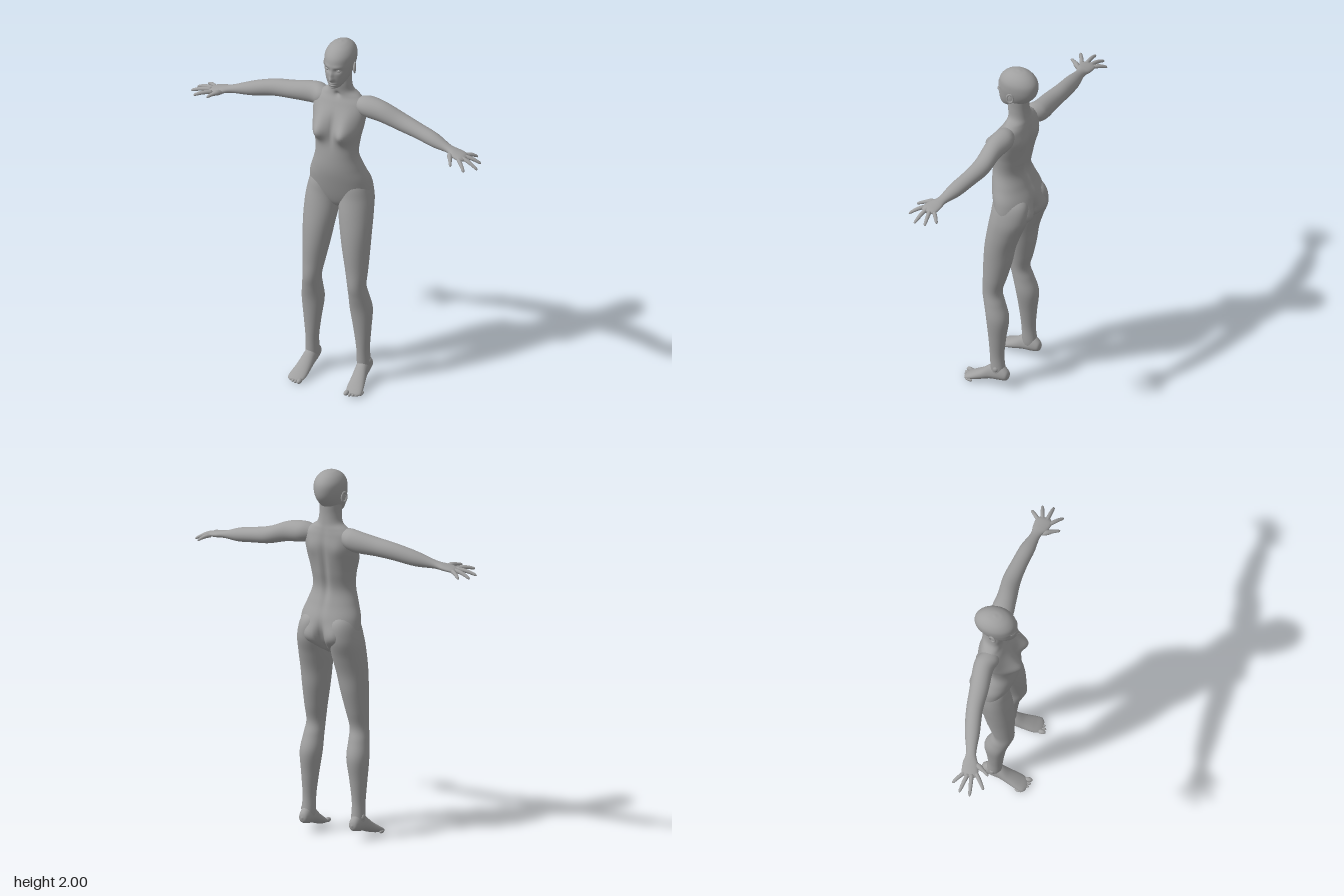
import * as THREE from 'three';

const X = new THREE.Vector3(1, 0, 0), Y = new THREE.Vector3(0, 1, 0), Z = new THREE.Vector3(0, 0, 1);
const clay = new THREE.MeshStandardMaterial({ color: 0xa0a0a0 });
clay.name = 'clay grey';

// Smooth closed skin over rows [x, y, z, half width along U, reach along +V, reach along -V]
function loft(name, rows, U, V, seg = 24, steps = 6, sculpt) {
  const path = new THREE.CatmullRomCurve3(rows.map(r => new THREE.Vector3(r[0], r[1], r[2])), false, 'catmullrom');
  const size = new THREE.CatmullRomCurve3(rows.map(r => new THREE.Vector3(r[3], r[4], r[5] ?? r[4])), false, 'catmullrom');
  const n = (rows.length - 1) * steps, pos = [], idx = [];
  const first = path.getPoint(0), last = path.getPoint(1);
  const flip = new THREE.Vector3().crossVectors(U, V).dot(last.clone().sub(first)) < 0;
  const tri = (a, b, c) => flip ? idx.push(a, c, b) : idx.push(a, b, c);
  for (let i = 0; i <= n; i++) {
    const c = path.getPoint(i / n), r = size.getPoint(i / n);
    for (let j = 0; j < seg; j++) {
      const t = j / seg * Math.PI * 2, s = Math.sin(t);
      const v = c.clone().addScaledVector(U, Math.cos(t) * Math.max(r.x, 0.001))
        .addScaledVector(V, s * Math.max(s > 0 ? r.y : r.z, 0.001));
      if (sculpt) sculpt(v, s);
      pos.push(v.x, v.y, v.z);
      if (i < n) {
        const a = i * seg + j, b = i * seg + (j + 1) % seg;
        tri(a, b, b + seg);
        tri(a, b + seg, a + seg);
      }
    }
  }
  // end caps
  const k = pos.length / 3;
  pos.push(...first.toArray(), ...last.toArray());
  for (let j = 0; j < seg; j++) {
    const j2 = (j + 1) % seg;
    tri(k, j2, j);
    tri(k + 1, n * seg + j, n * seg + j2);
  }
  const g = new THREE.BufferGeometry();
  g.setAttribute('position', new THREE.Float32BufferAttribute(pos, 3));
  g.setIndex(idx);
  g.computeVertexNormals();
  const m = new THREE.Mesh(g, clay);
  m.name = name;
  return m;
}

function blob(name, x, y, z, a, b, c) {
  const m = new THREE.Mesh(new THREE.SphereGeometry(1, 20, 14), clay);
  m.name = name;
  m.position.set(x, y, z);
  m.scale.set(a, b, c);
  return m;
}

// Soft hill, mirrored over x = 0
const hill = (v, x, y, rx, ry, d) => d * Math.exp(-(((Math.abs(v.x) - x) / rx) ** 2) - ((v.y - y) / ry) ** 2);

function sculptTorso(v, s) {
  const front = Math.max(0, s), back = Math.max(0, -s);
  const { x, y } = v;
  const p = { x, y };
  v.z += Math.sqrt(front) * (hill(p, 0.078, 1.505, 0.05, 0.052, 0.062) + hill(p, 0.07, 1.57, 0.045, 0.045, 0.016)
    + hill(p, 0, 1.52, 0.012, 0.07, -0.008) + hill(p, 0, 1.7, 0.014, 0.015, -0.012));
  v.z += back * (hill(p, 0, 1.45, 0.018, 0.18, 0.014) + hill(p, 0.085, 1.12, 0.05, 0.06, -0.025)
    + hill(p, 0, 1.09, 0.02, 0.07, 0.04) + hill(p, 0.08, 1.58, 0.04, 0.05, -0.01));
}

function sculptHead(v, s) {
  const p = { x: v.x, y: v.y };
  v.z += Math.max(0, s) * (hill(p, 0, 1.825, 0.012, 0.013, 0.018) + hill(p, 0, 1.85, 0.009, 0.022, 0.011)
    + hill(p, 0.03, 1.875, 0.017, 0.012, -0.012) + hill(p, 0.03, 1.897, 0.022, 0.01, 0.004)
    + hill(p, 0, 1.798, 0.02, 0.005, 0.007) + hill(p, 0, 1.786, 0.017, 0.005, 0.007)
    + hill(p, 0, 1.792, 0.02, 0.002, -0.005) + hill(p, 0, 1.77, 0.015, 0.007, 0.005));
}

function leg(s) {
  const g = new THREE.Group();
  g.name = s > 0 ? 'leftLeg' : 'rightLeg';
  const mir = rows => rows.map(([x, ...r]) => [s * x, ...r]);
  g.add(loft('legSkin', mir([
    [0.07, 1.26, -0.04, 0.01, 0.01, 0.01], [0.082, 1.2, -0.04, 0.07, 0.075, 0.105],
    [0.095, 1.1, -0.035, 0.088, 0.085, 0.122], [0.1, 1.0, -0.02, 0.092, 0.086, 0.102],
    [0.108, 0.9, -0.005, 0.084, 0.084, 0.084], [0.115, 0.8, 0.005, 0.073, 0.08, 0.077],
    [0.124, 0.69, 0.018, 0.06, 0.067, 0.064], [0.13, 0.6, 0.027, 0.05, 0.06, 0.05],
    [0.135, 0.53, 0.015, 0.054, 0.058, 0.058], [0.14, 0.44, 0, 0.06, 0.052, 0.07],
    [0.145, 0.32, -0.004, 0.047, 0.042, 0.054], [0.148, 0.2, -0.008, 0.035, 0.037, 0.041],
    [0.149, 0.11, -0.016, 0.036, 0.04, 0.042], [0.149, 0.07, -0.018, 0.028, 0.035, 0.035],
  ]), X, Z, 32));
  // heel to toe
  g.add(loft('foot', mir([
    [0.15, 0.088, -0.085, 0.003, 0.003], [0.15, 0.088, -0.073, 0.024, 0.03, 0.028],
    [0.15, 0.088, -0.03, 0.034, 0.06, 0.04], [0.152, 0.074, 0.02, 0.036, 0.055, 0.036],
    [0.158, 0.05, 0.07, 0.041, 0.036, 0.03], [0.165, 0.028, 0.12, 0.046, 0.024, 0.022],
    [0.17, 0.018, 0.15, 0.042, 0.015, 0.015], [0.17, 0.014, 0.165, 0.025, 0.008, 0.008],
  ]), X, Y, 24));
  for (let i = 0; i < 5; i++) {
    const w = i ? 0.0085 : 0.013;
    g.add(blob('toe', s * (0.14 + i * 0.017 - (i ? 0 : 0.003)), 0.005 + w, 0.165 - i * i * 0.0022, w, w, 0.022));
  }
  g.add(blob('ankleBone', s * 0.178, 0.125, -0.02, 0.012, 0.018, 0.015));
  return g;
}

// Limb along a sideways path, wide in the horizontal and thick in the vertical
function limb(name, rows, seg, steps) {
  const a = rows[0], b = rows[rows.length - 1];
  const dir = new THREE.Vector3(b[0] - a[0], 0, b[2] - a[2]).normalize();
  return loft(name, rows, new THREE.Vector3().crossVectors(Y, dir), Y, seg, steps);
}

function arm(name, rows, fingers) {
  const g = new THREE.Group();
  g.name = name;
  g.add(limb('armSkin', rows, 28, 6));
  fingers.forEach(([x0, y0, z0, x1, y1, z1], i) => {
    const at = (t, r) => [x0 + (x1 - x0) * t, y0 + (y1 - y0) * t + 0.006 * Math.sin(t * Math.PI), z0 + (z1 - z0) * t, r, r];
    g.add(limb(i ? 'finger' : 'thumb',
      [at(0, 0.011), at(0.3, i ? 0.011 : 0.015), at(0.6, 0.01), at(0.88, 0.008), at(0.97, 0.005), at(1, 0.001)], 12, 3));
  });
  return g;
}

export function createModel() {
  const root = new THREE.Group();
  root.name = 'figure';

  // trunk, head and legs share one turned frame
  const body = new THREE.Group();
  body.name = 'body';
  body.position.set(-0.012, 0, -0.02);
  body.rotation.y = 0.384;
  root.add(body);

  body.add(loft('torso', [
    [0, 1.01, -0.045, 0.02, 0.02, 0.02], [0, 1.045, -0.045, 0.09, 0.06, 0.07], [0, 1.1, -0.047, 0.165, 0.088, 0.11],
    [0, 1.2, -0.037, 0.168, 0.106, 0.112], [0, 1.28, -0.018, 0.142, 0.102, 0.1], [0, 1.36, -0.003, 0.119, 0.088, 0.092],
    [0, 1.45, -0.01, 0.126, 0.086, 0.098], [0, 1.53, -0.022, 0.142, 0.083, 0.098], [0, 1.6, -0.035, 0.15, 0.078, 0.092],
    [0, 1.655, -0.045, 0.145, 0.062, 0.075], [0, 1.69, -0.05, 0.108, 0.05, 0.063], [0, 1.72, -0.047, 0.07, 0.046, 0.06],
    [0, 1.77, -0.04, 0.06, 0.046, 0.063], [0, 1.83, -0.04, 0.058, 0.045, 0.065],
  ], X, Z, 72, 7, sculptTorso));

  body.add(loft('head', [
    [0, 1.762, 0.025, 0.012, 0.012, 0.02], [0, 1.768, 0.015, 0.03, 0.04, 0.035], [0, 1.79, 0, 0.048, 0.061, 0.07],
    [0, 1.82, -0.018, 0.062, 0.084, 0.095], [0, 1.86, -0.035, 0.073, 0.103, 0.112], [0, 1.9, -0.043, 0.079, 0.109, 0.116],
    [0, 1.94, -0.046, 0.077, 0.102, 0.109], [0, 1.972, -0.048, 0.06, 0.077, 0.083], [0, 1.992, -0.05, 0.033, 0.042, 0.045],
    [0, 1.999, -0.05, 0.004, 0.005, 0.005],
  ], X, Z, 72, 9, sculptHead));

  for (const s of [-1, 1]) {
    body.add(leg(s));
    body.add(blob('eye', s * 0.03, 1.874, 0.045, 0.014, 0.008, 0.01));
    // ear: rim and lobe
    const ear = new THREE.Group();
    ear.name = 'ear';
    const rim = new THREE.Mesh(new THREE.TorusGeometry(0.017, 0.005, 8, 20), clay);
    rim.name = 'earRim';
    rim.scale.y = 1.5;
    ear.add(rim, blob('earBowl', 0, -0.004, -0.004, 0.016, 0.025, 0.005));
    ear.position.set(s * 0.081, 1.86, -0.045);
    ear.rotation.y = s * (Math.PI / 2 + 0.35);
    body.add(ear);
  }

  // arms reach out sideways, palms down
  root.add(arm('leftArm', [
    [0.05, 1.645, -0.1, 0.035, 0.035], [0.11, 1.642, -0.127, 0.06, 0.055], [0.2, 1.63, -0.16, 0.053, 0.055],
    [0.3, 1.595, -0.204, 0.049, 0.047], [0.4, 1.575, -0.23, 0.043, 0.041], [0.5, 1.557, -0.25, 0.04, 0.037],
    [0.59, 1.54, -0.265, 0.027, 0.021], [0.64, 1.532, -0.27, 0.041, 0.018], [0.685, 1.526, -0.278, 0.043, 0.014],
    [0.705, 1.522, -0.28, 0.025, 0.008],
  ], [
    [0.615, 1.53, -0.25, 0.695, 1.51, -0.182], [0.685, 1.525, -0.246, 0.767, 1.495, -0.212],
    [0.69, 1.527, -0.268, 0.787, 1.487, -0.29], [0.685, 1.525, -0.29, 0.757, 1.492, -0.343],
    [0.672, 1.522, -0.308, 0.7, 1.5, -0.372],
  ]));
  root.add(arm('rightArm', [
    [-0.09, 1.645, -0.04, 0.035, 0.035], [-0.145, 1.643, -0.03, 0.06, 0.055], [-0.2, 1.637, -0.02, 0.054, 0.059],
    [-0.3, 1.625, 0.028, 0.05, 0.05], [-0.4, 1.612, 0.073, 0.044, 0.046], [-0.5, 1.587, 0.133, 0.04, 0.04],
    [-0.59, 1.566, 0.192, 0.027, 0.022], [-0.635, 1.556, 0.222, 0.041, 0.018], [-0.68, 1.547, 0.25, 0.043, 0.014],
    [-0.697, 1.543, 0.26, 0.025, 0.008],
  ], [
    [-0.62, 1.553, 0.245, -0.635, 1.55, 0.338], [-0.66, 1.548, 0.277, -0.71, 1.54, 0.362],
    [-0.68, 1.549, 0.263, -0.777, 1.525, 0.32], [-0.692, 1.547, 0.245, -0.79, 1.52, 0.262],
    [-0.69, 1.545, 0.225, -0.77, 1.525, 0.203],
  ]));
  return root;
}
